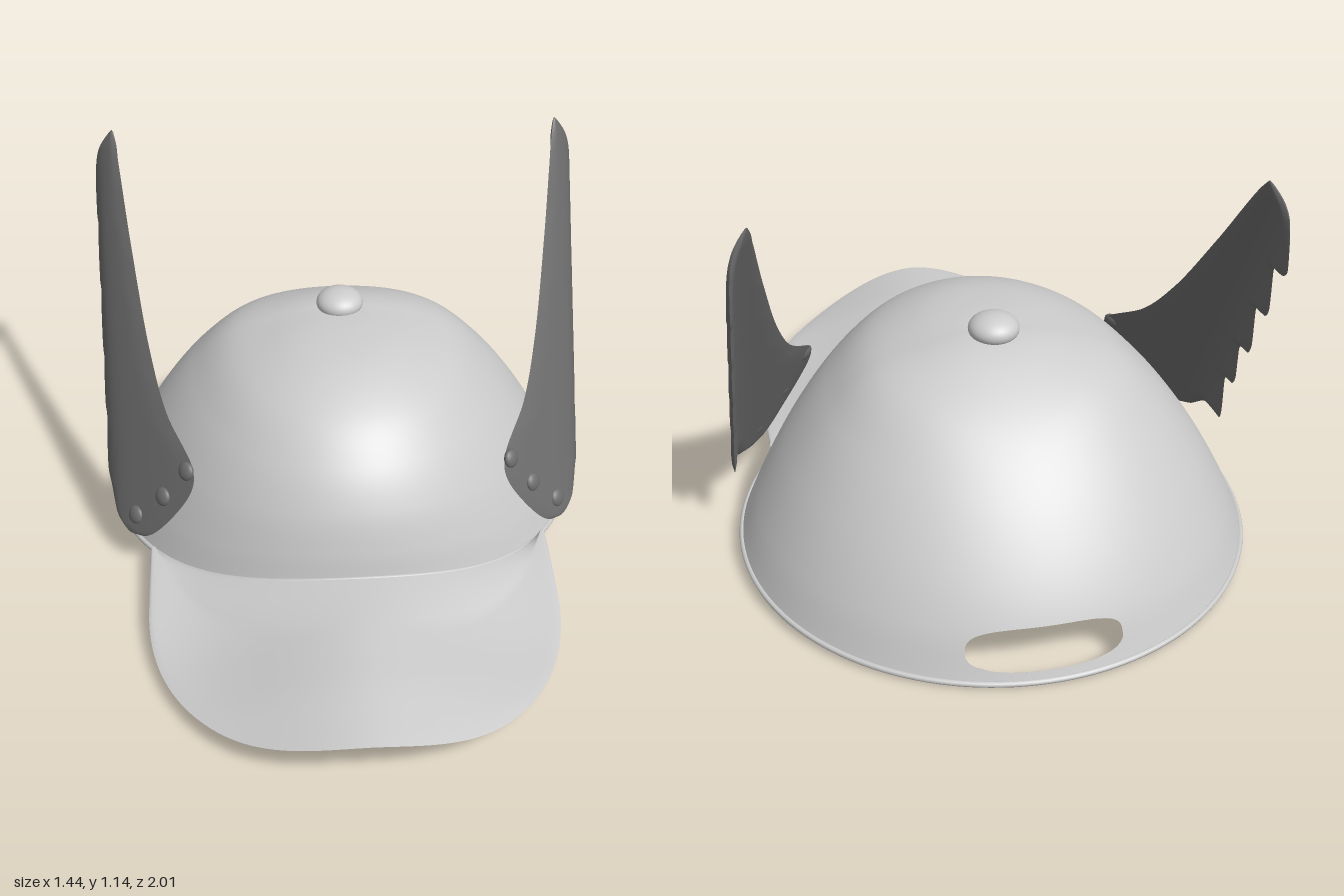
import * as THREE from 'three';
import { mergeVertices } from 'three/addons/utils/BufferGeometryUtils.js';

const { lerp, smoothstep } = THREE.MathUtils;
const capMat = new THREE.MeshStandardMaterial({ color: 0xcccccc, side: THREE.DoubleSide });
capMat.name = 'light grey cap';
const wingMat = new THREE.MeshStandardMaterial({ color: 0x6c6c6c, side: THREE.DoubleSide });
wingMat.name = 'dark grey wing';

function add(parent, name, geometry, material) {
  const mesh = new THREE.Mesh(geometry, material);
  mesh.name = name;
  parent.add(mesh);
  return mesh;
}

// Smooth grid surface: fn(u, v) returns [x, y, z, cut]; fully cut quads are left open
function sheet(nu, nv, fn, flip = false) {
  const pos = [], cut = [], index = [];
  for (let j = 0; j <= nv; j++) {
    for (let i = 0; i <= nu; i++) {
      const [x, y, z, c] = fn(i / nu, j / nv);
      pos.push(x, y, z);
      cut.push(!!c);
    }
  }
  for (let j = 0; j < nv; j++) {
    for (let i = 0; i < nu; i++) {
      const a = j * (nu + 1) + i, b = a + 1, d = a + nu + 1, c = d + 1;
      if (cut[a] && cut[b] && cut[c] && cut[d]) continue;
      if (flip) index.push(a, c, b, a, d, c);
      else index.push(a, b, c, a, c, d);
    }
  }
  let g = new THREE.BufferGeometry();
  g.setAttribute('position', new THREE.Float32BufferAttribute(pos, 3));
  g.setIndex(index);
  g = mergeVertices(g, 1e-5);
  g.computeVertexNormals();
  return g;
}

const curve = (pts) => new THREE.CatmullRomCurve3(pts.map(([a, b]) => new THREE.Vector3(a, b, 0)));

// Crown profiles, rim to apex: [radius, height fraction]
const side = curve([[.71, 0], [.66, .18], [.57, .44], [.455, .69], [.335, .87], [.2, .955], [.1, .99], [0, 1]]);
const back = curve([[.68, 0], [.635, .2], [.56, .4], [.44, .63], [.31, .81], [.19, .92], [.09, .98], [0, 1]]);
const front = curve([[.69, 0], [.675, .17], [.64, .4], [.57, .63], [.46, .83], [.31, .96], [.15, 1], [0, 1]]);

// Point on the crown; angle 0 is the back
function crownPoint(angle, t) {
  const c = -Math.cos(angle);
  const p = side.getPoint(t).lerp((c > 0 ? front : back).getPoint(t), c * c);
  const rimZ = -.32 + .69 * c;
  const rimY = .012 + .048 * (rimZ + 1) + (c > 0 ? .1 * c ** 4.5 : 0);
  return [p.x * Math.sin(angle), lerp(rimY, .66, p.y), -.32 + p.x * c];
}

// Crown with the rounded opening at the back
function crownWithOpening(u, v) {
  let angle = (u - .5) * Math.PI * 2, t = v;
  const a = angle / .32, b = (t - .09) / .06;
  const m = Math.cbrt(Math.abs(a) ** 3 + Math.abs(b) ** 3);
  const inside = m < 1;
  if (inside && m > 0) {
    angle = a / m * .32;
    t = .09 + b / m * .06;
  }
  return [...crownPoint(angle, t), inside];
}

// Height of the arched brim
function brimHeight(x, z) {
  const k = Math.min(1, Math.abs(x) / .59) ** .92;
  const drop = .09 + .045 * smoothstep(z, .1, .6);
  return .182 - drop * (1 - Math.cos(Math.PI * k)) / 2 - .014 * smoothstep(z, .75, 1);
}

// Brim fans out from the front of the rim to a rounded outline
const brim = (thickness) => (u, v) => {
  const w = u * 2 - 1, s = Math.sign(w), k = Math.abs(w);
  const [ix, iy, iz] = crownPoint(Math.PI - w * .95, 0);
  let ox = .59 * s, oz = lerp(.35, .1, (k - .8) / .2);
  if (k < .8) {
    const a = w / .8 * Math.PI / 2;
    ox = .59 * Math.sin(a);
    oz = .35 + .65 * Math.cos(a);
  }
  const x = lerp(ix, ox, v), z = lerp(iz, oz, v);
  const y = lerp(iy, brimHeight(x, z), Math.min(1, v * 3));
  return [x, y + thickness * Math.sqrt(1 - v ** 6), z];
};

// Wing outline in [z, y]: smooth leading edge, stepped feather edge, both bottom to tip
const leading = curve([[.055, .125], [.1, .145], [.125, .19], [.147, .34], [.12, .4], [-.02, .5], [-.15, .635],
  [-.34, .87], [-.527, 1.11], [-.56, 1.145]]);
const feathers = curve([[.055, .125], [-.02, .15], [-.1, .205], [-.205, .212], [-.222, .25], [-.235, .365],
  [-.285, .377], [-.308, .41], [-.325, .52], [-.38, .533], [-.404, .57], [-.42, .695], [-.475, .702],
  [-.5, .735], [-.515, .865], [-.565, .87], [-.595, .9], [-.592, 1.04], [-.56, 1.145]]);
feathers.curveType = 'catmullrom';
feathers.tension = .3;

// Sideways position of the wing: a tilted plane easing to upright at the feathers
function wingX(z, y) {
  const d = .72 - (.776 - .896 * z - .533 * y);
  return .717 - (d + Math.hypot(d, .05)) / 2;
}

const wingFace = (s, offset) => (u, v) => {
  const p = leading.getPointAt(v).lerp(feathers.getPointAt(v), u);
  const edge = Math.min(1, Math.sin(Math.PI * u) * 2) * Math.min(1, Math.sin(Math.PI * v) * 8);
  return [s * (wingX(p.x, p.y) + offset * Math.sqrt(Math.max(0, edge))), p.y, p.x];
};

export function createModel() {
  const model = new THREE.Group();
  model.name = 'wingedCap';

  add(model, 'crown', sheet(200, 100, crownWithOpening, true), capMat);

  // Rolled edge around the rim
  const rim = [];
  for (let i = 0; i < 48; i++) rim.push(new THREE.Vector3(...crownPoint(i / 48 * Math.PI * 2, 0)));
  const rimCurve = new THREE.CatmullRomCurve3(rim, true);
  add(model, 'rimEdge', new THREE.TubeGeometry(rimCurve, 144, .008, 8, true), capMat);

  add(model, 'brimTop', sheet(80, 24, brim(.006), true), capMat);
  add(model, 'brimUnderside', sheet(80, 24, brim(-.008)), capMat);

  const button = add(model, 'topButton', new THREE.SphereGeometry(.07, 32, 20), capMat);
  button.scale.y = .6;
  button.position.set(0, .668, -.33);

  for (const s of [1, -1]) {
    const wing = new THREE.Group();
    wing.name = s > 0 ? 'leftWing' : 'rightWing';
    model.add(wing);
    add(wing, 'wingOuterFace', sheet(12, 160, wingFace(s, .009), s < 0), wingMat);
    add(wing, 'wingInnerFace', sheet(12, 160, wingFace(s, -.009), s > 0), wingMat);

    // Rivets lie flat against the wing
    const normal = new THREE.Vector3(s, .533, .896).normalize();
    for (const [z, y] of [[.112, .39], [.092, .285], [.05, .188]]) {
      const rivet = add(wing, 'rivet', new THREE.SphereGeometry(.028, 20, 12), wingMat);
      rivet.scale.z = .5;
      rivet.quaternion.setFromUnitVectors(new THREE.Vector3(0, 0, 1), normal);
      rivet.position.set(s * (wingX(z, y) + .008), y, z);
    }
  }
  return model;
}
